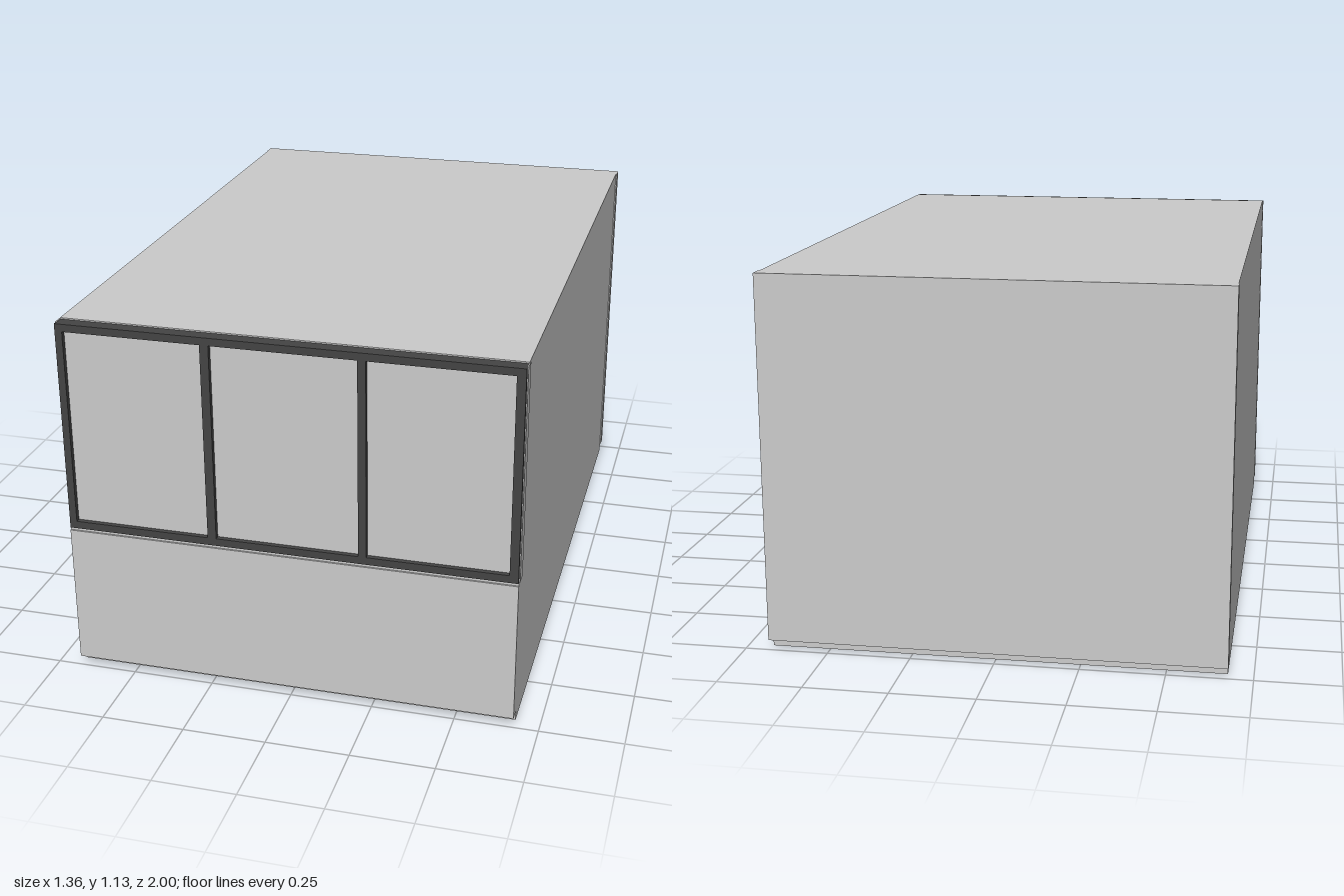
import * as THREE from 'three';

const grey = new THREE.MeshStandardMaterial({ color: 0xcccccc });
const dark = new THREE.MeshStandardMaterial({ color: 0x444444 });

// Box given by its minimum and maximum corners
function block(name, [x0, y0, z0], [x1, y1, z1], material = grey) {
  const mesh = new THREE.Mesh(new THREE.BoxGeometry(x1 - x0, y1 - y0, z1 - z0), material);
  mesh.position.set((x0 + x1) / 2, (y0 + y1) / 2, (z0 + z1) / 2);
  mesh.name = name;
  return mesh;
}

function rect(path, x0, y0, x1, y1) {
  path.moveTo(x0, y0);
  path.lineTo(x1, y0);
  path.lineTo(x1, y1);
  path.lineTo(x0, y1);
  path.closePath();
  return path;
}

export function createModel() {
  const model = new THREE.Group();
  model.name = 'building';

  // Main volume, with the back panel held just above the ground
  model.add(block('body', [-0.676, 0, -0.965], [0.676, 1.13, 0.96]));
  model.add(block('backPanel', [-0.678, 0.03, -1], [0.68, 1.13, -0.96]));

  // Solid lower front with a thin sill
  model.add(block('lowerFrontPanel', [-0.678, 0.03, 0.955], [0.676, 0.468, 1]));
  model.add(block('sill', [-0.678, 0.468, 0.945], [0.676, 0.477, 0.995]));

  // Side walls run past the body to cover the ends of the window frame
  for (const side of [-1, 1]) {
    const x = side * 0.676;
    model.add(block(side > 0 ? 'leftWallEdge' : 'rightWallEdge',
      [x - 0.002, 0.477, 0.95], [x + 0.002, 1.128, 0.99]));
  }

  // Window frame with three openings, and a pane set into each
  const openings = [[-0.655, -0.243], [-0.217, 0.211], [0.235, 0.649]];
  const frameShape = rect(new THREE.Shape(), -0.677, 0.477, 0.675, 1.126);
  for (const [x0, x1] of openings) {
    frameShape.holes.push(rect(new THREE.Path(), x0, 0.5, x1, 1.103));
    model.add(block('windowPane', [x0 - 0.005, 0.495, 0.962], [x1 + 0.005, 1.108, 0.985]));
  }
  const frame = new THREE.Mesh(
    new THREE.ExtrudeGeometry(frameShape, { depth: 0.04, bevelEnabled: false }), dark);
  frame.position.z = 0.96;
  frame.name = 'windowFrame';
  model.add(frame);

  return model;
}
